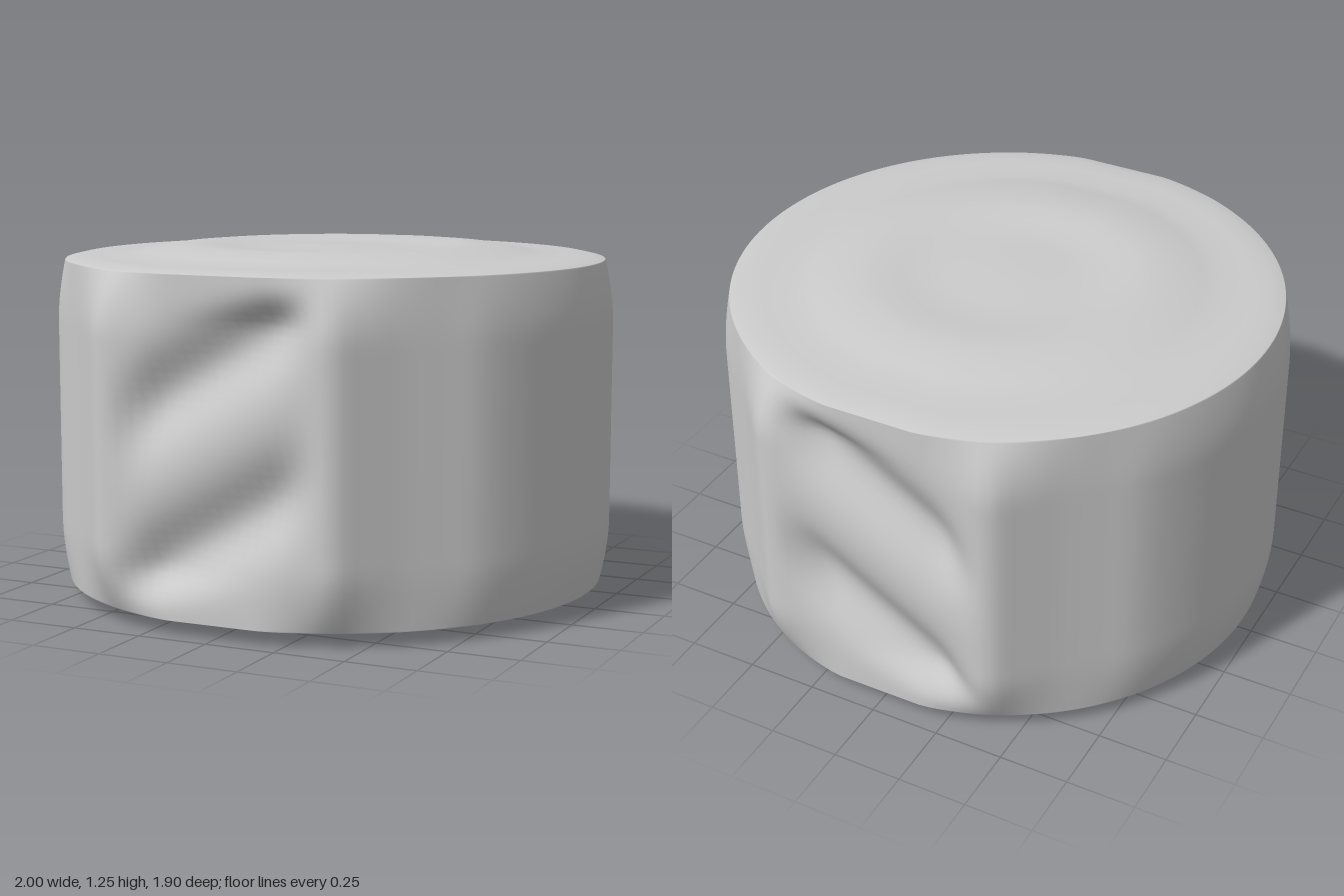
import * as THREE from 'three';

const MID = 0.625, RIM_R = 0.965, SEG = 160;
const smooth = THREE.MathUtils.smoothstep;

// Plan outline: round sides with a flat panel at front and back
function outline() {
  const q = [[1, 0], [0.99, 0.15], [0.95, 0.3], [0.88, 0.46], [0.8, 0.585], [0.7, 0.68],
    [0.6, 0.775], [0.51, 0.87], [0.43, 0.945], [0.32, 0.95], [0.16, 0.95], [0, 0.95]];
  const half = [...q, ...q.slice(1, -1).reverse().map(([x, z]) => [-x, z])];
  const all = [...half, ...half.map(([x, z]) => [-x, -z])].map(([x, z]) => new THREE.Vector3(x, 0, z));
  // drop the end points shared by neighbouring quadrants
  const pts = all.filter((p, i) => p.distanceTo(all[(i + 1) % all.length]) > 1e-4);
  pts.splice(half.length, 0, new THREE.Vector3(-1, 0, 0));
  const clean = pts.filter((p, i) => p.distanceTo(pts[(i + 1) % pts.length]) > 1e-4);
  return new THREE.CatmullRomCurve3(clean, true, 'centripetal').getSpacedPoints(SEG).slice(0, SEG);
}

// Two diagonal hollows with a ridge between them, pressed into each panel
function hollow(x, y) {
  const v = Math.abs(y - MID - 0.6 * x);
  const fade = (1 - smooth(Math.abs(x), 0.2, 0.41)) * (1 - smooth(Math.abs(y - MID), 0.4, 0.56));
  return 0.08 * fade * Math.exp(-(((v - 0.28) / 0.14) ** 2));
}

// Cap rings as [radius, height above the middle], from the rim to the centre
const cap = [[0.965, 0.575], [0.92, 0.585], [0.85, 0.588], [0.75, 0.589], [0.68, 0.602], [0.6, 0.616],
  [0.52, 0.623], [0.45, 0.624], [0.37, 0.616], [0.3, 0.611], [0.22, 0.611], [0.14, 0.614], [0.07, 0.616], [0, 0.616]];

function bodyGeometry() {
  const plan = outline();
  const loops = [];
  const capLoop = ([r, h], sign) => plan.map((p) => {
    const R = Math.hypot(p.x, p.z), k = (r / RIM_R) * Math.min(R, RIM_R) / R;
    return [p.x * k, MID + sign * h, p.z * k];
  });
  // bottom cap, centre to rim
  for (let i = cap.length - 1; i >= 0; i--) loops.push(capLoop(cap[i], -1));
  // wall, bulging out from the rims
  const rows = 48;
  for (let j = 1; j < rows; j++) {
    const h = -0.575 * Math.cos((j / rows) * Math.PI), y = MID + h;
    const out = Math.sqrt(smooth(0.575 - Math.abs(h), -0.005, 0.22));
    loops.push(plan.map((p) => {
      const R = Math.hypot(p.x, p.z), rim = Math.min(R, RIM_R);
      const k = (rim + (R - rim) * out) / R;
      const x = p.x * k, z = p.z * k;
      const dent = Math.abs(p.z) > 0.9 ? hollow(x, y) : 0;
      return [x, y, z - Math.sign(z) * dent];
    }));
  }
  // top cap, rim to centre
  for (const ring of cap) loops.push(capLoop(ring, 1));

  const index = [];
  for (let j = 0; j < loops.length - 1; j++) {
    for (let i = 0; i < SEG; i++) {
      const n = (i + 1) % SEG;
      const a = j * SEG + i, b = j * SEG + n, c = a + SEG, d = b + SEG;
      if (j < loops.length - 2) index.push(a, c, d);
      else index.push(a, c, b);
      if (j > 0 && j < loops.length - 2) index.push(a, d, b);
    }
  }
  const geo = new THREE.BufferGeometry();
  geo.setAttribute('position', new THREE.Float32BufferAttribute(loops.flat(2), 3));
  geo.setIndex(index);
  geo.computeVertexNormals();
  return geo;
}

export function createModel() {
  const group = new THREE.Group();
  group.name = 'drumBlock';
  const body = new THREE.Mesh(bodyGeometry(), new THREE.MeshStandardMaterial({ color: 0xcccccc }));
  body.name = 'body';
  group.add(body);
  return group;
}
